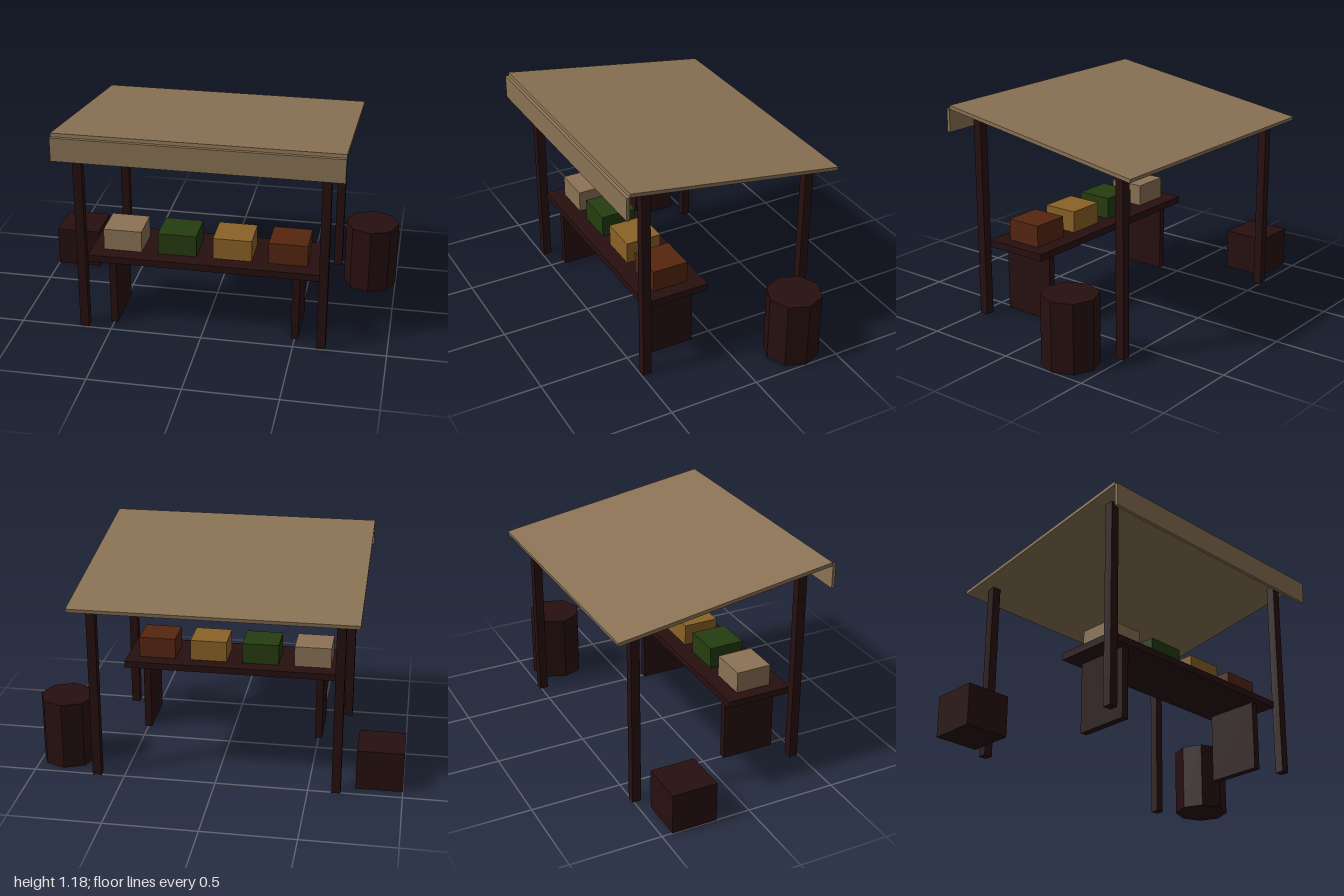
import * as THREE from 'three';

const mat = (name, color) => {
  const m = new THREE.MeshStandardMaterial({ color });
  m.name = name;
  return m;
};

export function createModel() {
  const stall = new THREE.Group();
  stall.name = 'marketStall';
  const wood = mat('dark wood', 0x270f0f);
  const canvas = mat('tan canvas', 0x8b7355);
  const green = mat('green goods', 0x253c10);
  const ochre = mat('ochre goods', 0x8a6226);
  const rust = mat('rust goods', 0x562610);

  // Box given by its size, the centre of its base, and its material
  const box = (name, [w, h, d], [x, y, z], material) => {
    const mesh = new THREE.Mesh(new THREE.BoxGeometry(w, h, d), material);
    mesh.name = name;
    mesh.position.set(x, y + h / 2, z);
    stall.add(mesh);
    return mesh;
  };

  // Sloping roof and the valance hanging at its front
  const roof = box('roof', [1.5, 0.02, 1.21], [0, 1.068, -0.008], canvas);
  roof.rotation.x = -0.147;
  box('valance', [1.5, 0.128, 0.018], [0, 1.03, 0.601], canvas);

  // Posts and table legs, mirrored left and right
  for (const s of [-1, 1]) {
    box('frontPost', [0.048, 1.137, 0.048], [s * 0.65, 0, 0.467], wood);
    box('backPost', [0.048, 1.0, 0.048], [s * 0.65, 0, -0.483], wood);
    box('tableLeg', [0.04, 0.383, 0.3], [s * 0.5, 0, 0.267], wood);
  }
  box('tableTop', [1.25, 0.038, 0.37], [0, 0.383, 0.267], wood);

  // Row of goods on the table
  [canvas, green, ochre, rust].forEach((m, i) =>
    box('goods', [0.21, 0.12, 0.2], [-0.452 + i * 0.3, 0.421, 0.267], m));

  // Crate and eight-sided barrel beside the stall
  box('crate', [0.25, 0.225, 0.25], [-0.875, 0, -0.315], wood);
  const barrelGeo = new THREE.CylinderGeometry(0.15, 0.15, 0.378, 8).toNonIndexed();
  barrelGeo.computeVertexNormals();
  const barrel = new THREE.Mesh(barrelGeo, wood);
  barrel.name = 'barrel';
  barrel.position.set(0.85, 0.189, -0.31);
  stall.add(barrel);

  return stall;
}
